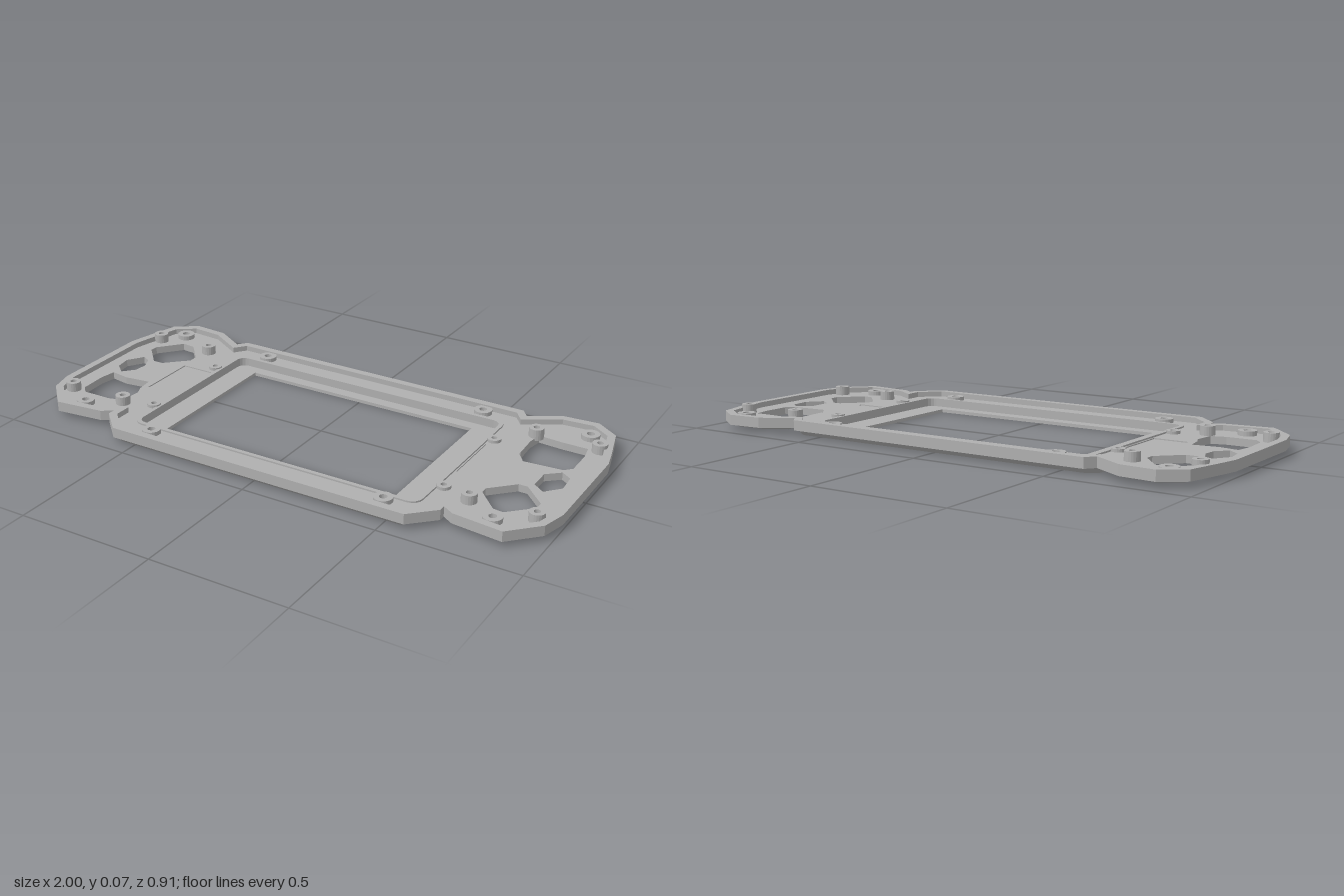
import * as THREE from 'three';

const shell = new THREE.MeshStandardMaterial({ color: 0xb0b0b0 });
shell.name = 'shell grey';

// Points are [x, z] in plan; loops are put in one order so offsets and skirts face outward.
function ordered(pts) {
  let area = 0;
  pts.forEach(([x, z], i) => {
    const [u, w] = pts[(i + 1) % pts.length];
    area += z * u - x * w;
  });
  return area > 0 ? pts : [...pts].reverse();
}

// Mitred inward offset of a plan loop
function inset(loop, t) {
  const pts = ordered(loop), n = pts.length;
  const normal = (a, b) => {
    const dx = b[0] - a[0], dz = b[1] - a[1], l = Math.hypot(dx, dz);
    return [dz / l, -dx / l];
  };
  return pts.map((p, i) => {
    const a = normal(pts[(i + n - 1) % n], p), b = normal(p, pts[(i + 1) % n]);
    const k = t / (1 + a[0] * b[0] + a[1] * b[1]);
    return [p[0] + (a[0] + b[0]) * k, p[1] + (a[1] + b[1]) * k];
  });
}

const toVecs = pts => ordered(pts).map(([x, z]) => new THREE.Vector2(x, -z));
const mirror = pts => pts.map(([x, z]) => [-x, z]);
const rect = (x0, z0, x1, z1) => [[x0, z0], [x1, z0], [x1, z1], [x0, z1]];

// Rectangle with rounded corners
function roundRect(x0, z0, x1, z1, r) {
  const out = [];
  [[x1 - r, z1 - r], [x0 + r, z1 - r], [x0 + r, z0 + r], [x1 - r, z0 + r]].forEach(([cx, cz], q) => {
    for (let i = 0; i <= 4; i++) {
      const a = (q + i / 4) * Math.PI / 2;
      out.push([cx + r * Math.cos(a), cz + r * Math.sin(a)]);
    }
  });
  return out;
}

function circle(x, z, r, n = 20) {
  return Array.from({ length: n }, (_, i) => {
    const a = i / n * Math.PI * 2;
    return [x + r * Math.cos(a), z + r * Math.sin(a)];
  });
}

export function createModel() {
  const model = new THREE.Group();
  model.name = 'handheldFaceplate';

  const add = (name, geometry) => {
    const mesh = new THREE.Mesh(geometry, shell);
    mesh.name = name;
    model.add(mesh);
  };

  // Flat plate between two heights, with holes
  const plate = (name, pts, y0, y1, holes = []) => {
    const shape = new THREE.Shape(toVecs(pts));
    shape.holes = holes.map(h => new THREE.Path(toVecs(h)));
    const g = new THREE.ExtrudeGeometry(shape, { depth: y1 - y0, bevelEnabled: false });
    add(name, g.rotateX(-Math.PI / 2).translate(0, y0, 0));
  };

  // Sloping band between a lower and an upper loop
  const skirt = (name, low, high, y0, y1) => {
    const a = ordered(low), b = ordered(high), v = [];
    a.forEach((p, i) => {
      const j = (i + 1) % a.length;
      const A = [p[0], y0, p[1]], B = [a[j][0], y0, a[j][1]];
      const C = [b[j][0], y1, b[j][1]], D = [b[i][0], y1, b[i][1]];
      v.push(...A, ...B, ...C, ...A, ...C, ...D);
    });
    const g = new THREE.BufferGeometry();
    g.setAttribute('position', new THREE.Float32BufferAttribute(v, 3));
    g.computeVertexNormals();
    add(name, g);
  };

  // Outer silhouette: wing corners, then the screen section, mirrored
  const wing = [[0.735, -0.45], [0.865, -0.46], [0.948, -0.4], [0.985, -0.257], [1, -0.19],
    [1, 0.2], [0.977, 0.29], [0.88, 0.39], [0.7, 0.37]];
  const half = [[0.595, -0.418], [0.622, -0.383], ...wing, [0.66, 0.345], [0.66, 0.37], [0.575, 0.453]];
  const outline = [...half, ...mirror(half).reverse()];

  // Control openings in each wing
  const openings = {
    left: [
      [[-0.835, -0.315], [-0.785, -0.31], [-0.715, -0.23], [-0.715, -0.195], [-0.795, -0.118],
        [-0.835, -0.118], [-0.91, -0.2], [-0.908, -0.23]],
      [[-0.89, -0.128], [-0.858, -0.112], [-0.837, -0.065], [-0.842, -0.015], [-0.88, 0.027],
        [-0.922, -0.01], [-0.93, -0.07]],
      [[-0.9, 0.048], [-0.83, 0.06], [-0.732, 0.048], [-0.724, 0.11], [-0.708, 0.145],
        [-0.718, 0.225], [-0.77, 0.24], [-0.88, 0.24], [-0.906, 0.21], [-0.91, 0.11]],
    ],
    right: [
      [[0.708, -0.3], [0.8, -0.293], [0.89, -0.293], [0.9, -0.235], [0.9, -0.133],
        [0.875, -0.107], [0.735, -0.096], [0.703, -0.139], [0.698, -0.245]],
      [[0.88, -0.09], [0.917, -0.064], [0.922, 0.01], [0.875, 0.064], [0.832, 0.032], [0.832, -0.048]],
      [[0.788, 0.058], [0.82, 0.058], [0.9, 0.139], [0.9, 0.171], [0.82, 0.25],
        [0.783, 0.246], [0.708, 0.166], [0.708, 0.139]],
    ],
  };

  // Screen section dimensions
  const screen = rect(-0.465, -0.275, 0.46, 0.29);
  const recess = roundRect(-0.555, -0.317, 0.555, 0.337, 0.03);
  const lip = roundRect(-0.57, -0.332, 0.57, 0.352, 0.04);
  const pocket = rect(0.575, -0.145, 0.705, 0.085);

  // Raised edge and inner floor
  const inner = inset(outline, 0.028);
  plate('outerRim', outline, 0.02, 0.057, [inner]);
  plate('innerFloor', inner, 0.02, 0.037,
    [recess, pocket, mirror(pocket), ...openings.left, ...openings.right]);
  plate('screenLip', lip, 0.037, 0.043, [recess]);

  // Screen bezel beneath the floor, with chamfered sides
  const bezelHalf = [[0.58, -0.385], [0.62, -0.355], [0.62, 0.36], [0.55, 0.43]];
  const bezel = [...bezelHalf, ...mirror(bezelHalf).reverse()];
  plate('screenBezel', bezel, 0, 0.012, [screen]);
  plate('screenRecessWall', bezel, 0.012, 0.022, [recess]);
  skirt('bezelChamfer', bezel, inset(bezel, -0.02), 0, 0.02);

  // Wing undersides and shallow pockets
  for (const [side, flip] of [['left', mirror], ['right', p => p]]) {
    const base = flip([[0.63, -0.39], ...wing, [0.63, 0.33]]);
    const low = inset(base, 0.035);
    plate(side + 'WingUnderside', low, 0.01, 0.02, openings[side]);
    skirt(side + 'WingChamfer', low, inset(base, 0.018), 0.01, 0.02);
    plate(side + 'Pocket', flip(pocket), 0.02, 0.033);
  }

  // Screw bosses: [x, z, radius, top]
  const bosses = [
    [0.93, -0.295, 0.027, 0.07], [0.698, -0.295, 0.027, 0.07],
    [0.93, 0.243, 0.027, 0.07], [0.698, 0.243, 0.027, 0.07],
    [0.866, -0.375, 0.033, 0.054], [0.813, 0.315, 0.033, 0.054],
    [0.462, -0.363, 0.033, 0.052], [0.462, 0.38, 0.033, 0.052],
    [0.588, -0.185, 0.025, 0.048], [0.588, 0.202, 0.025, 0.048],
  ];
  for (const s of [-1, 1]) {
    for (const [x, z, r, top] of bosses) {
      plate('screwBoss', circle(s * x, z, r), 0.03, top, [circle(s * x, z, r * 0.42)]);
    }
  }
  return model;
}
